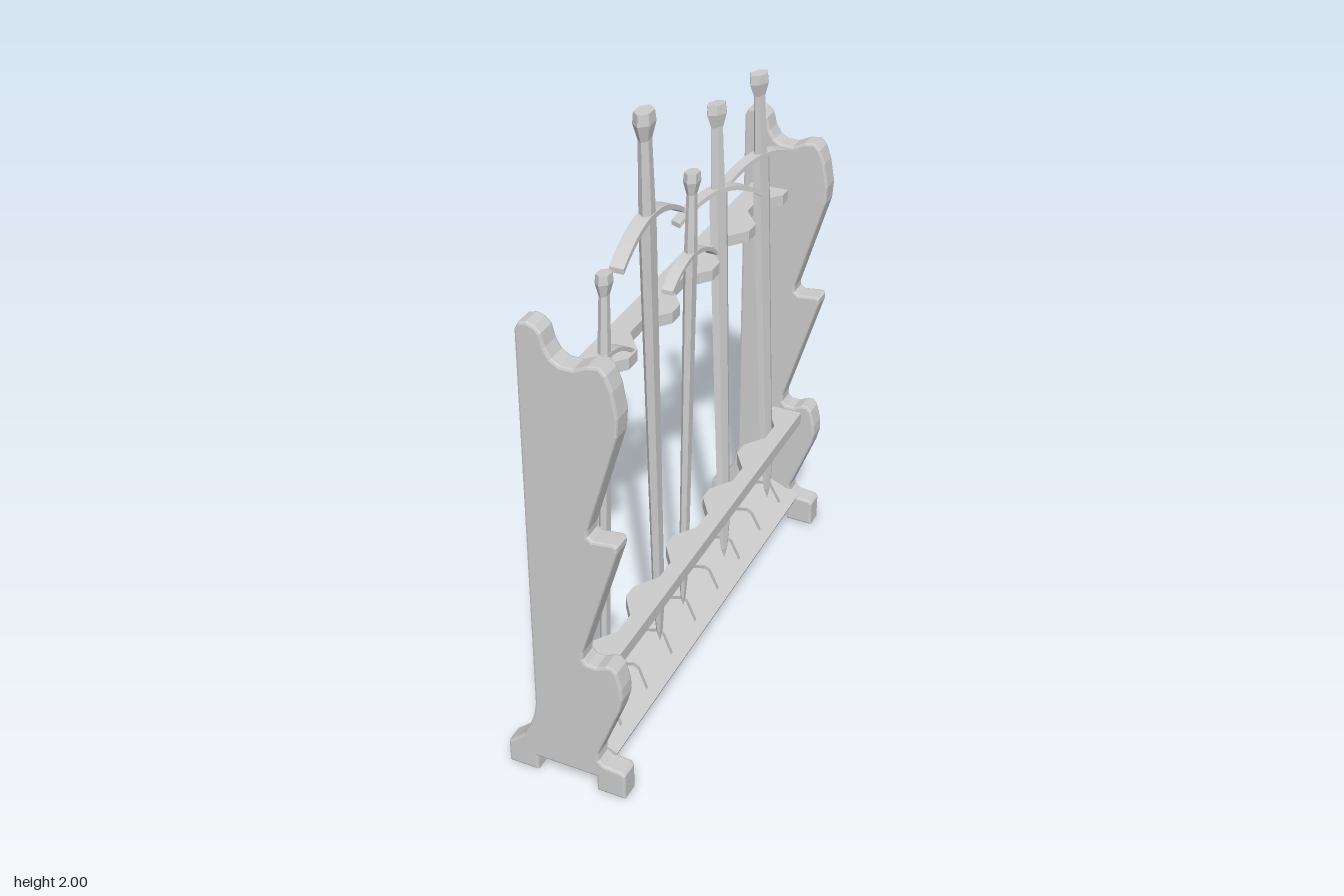
import * as THREE from 'three';

const material = new THREE.MeshStandardMaterial({ color: 0xcccccc, flatShading: true });
const UP = new THREE.Vector3(0, 1, 0);

function part(name, geometry, parent) {
  const mesh = new THREE.Mesh(geometry, material);
  mesh.name = name;
  parent.add(mesh);
  return mesh;
}

const toShape = (points) => new THREE.Shape(points.map(([x, y]) => new THREE.Vector2(x, y)));

// Slab drawn in plan (x, -z) and raised upwards
function slab(shape, height) {
  const geometry = new THREE.ExtrudeGeometry(shape, { depth: height, bevelEnabled: false });
  return geometry.rotateX(-Math.PI / 2);
}

// Scalloped end board with two feet
const boardProfile = [
  [-0.2, 0], [-0.1, 0], [-0.1, 0.055], [0.1, 0.055], [0.1, 0], [0.195, 0], [0.195, 0.09], [0.185, 0.1],
  [0.125, 0.105], [0.108, 0.12], [0.106, 0.145], [0.18, 0.34], [0.192, 0.39], [0.19, 0.43], [0.175, 0.485],
  [0.16, 0.502], [0.14, 0.5], [0.11, 0.485], [0.08, 0.485], [0.067, 0.5], [0.067, 0.525], [0.185, 0.92],
  [0.185, 0.938], [0.175, 0.947], [0.11, 0.938], [0.096, 0.95], [0.096, 0.97], [0.192, 1.3], [0.196, 1.36],
  [0.182, 1.44], [0.165, 1.485], [0.145, 1.505], [0.11, 1.5], [0.07, 1.48], [0.03, 1.48], [0.005, 1.495],
  [-0.012, 1.525], [-0.022, 1.565], [-0.04, 1.582], [-0.065, 1.59], [-0.088, 1.583], [-0.1, 1.56],
  [-0.1, 0.27], [-0.108, 0.22], [-0.122, 0.175], [-0.145, 0.13], [-0.17, 0.105], [-0.2, 0.08],
];

function endBoard() {
  const bevel = 0.008;
  const geometry = new THREE.ExtrudeGeometry(toShape(boardProfile), {
    depth: 0.07 - 2 * bevel, bevelThickness: bevel, bevelSize: bevel, bevelOffset: -bevel, bevelSegments: 2,
  });
  return geometry.translate(0, 0, -0.035 + bevel);
}

// Rail with one straight edge and five notches in the other
function notchedRail(straightX, tipX, floorX, height) {
  const points = [[straightX, -0.73], [tipX, -0.73]];
  for (let i = -2; i <= 2; i++) {
    const c = i * 0.282;
    points.push([tipX, c - 0.115], [floorX, c - 0.04], [floorX, c + 0.04], [tipX, c + 0.115]);
  }
  points.push([tipX, 0.73], [straightX, 0.73]);
  return slab(toShape(points), height);
}

// Six-sided tapering form, widest along z; profile is [half width, y]
function hexForm(profile, flatness) {
  const geometry = new THREE.LatheGeometry(profile.map(([r, y]) => new THREE.Vector2(r, y)), 6);
  return geometry.scale(flatness, 1, 1);
}

// Sword of unit length with its tip at the origin
function sword() {
  const group = new THREE.Group();
  part('blade', hexForm([[0, 0], [0.009, 0.025], [0.0165, 0.09], [0.0225, 0.83], [0, 0.83]], 0.5), group);
  part('grip', hexForm([[0, 0.825], [0.0155, 0.83], [0.0125, 0.96], [0, 0.965]], 0.8), group);
  part('pommel', hexForm([[0, 0.954], [0.014, 0.955], [0.0235, 0.982], [0.021, 1], [0, 1]], 0.68), group);

  // Crossguard bent down towards the blade
  const guard = new THREE.BoxGeometry(0.024, 0.009, 0.208, 1, 1, 12);
  const pos = guard.attributes.position;
  for (let i = 0; i < pos.count; i++) {
    const z = pos.getZ(i);
    pos.setY(i, pos.getY(i) + 0.832 - 3.7 * z * z);
  }
  part('crossguard', guard, group);
  return group;
}

export function createModel() {
  const model = new THREE.Group();
  model.name = 'swordRack';

  for (const side of [1, -1]) {
    part(side > 0 ? 'frontBoard' : 'backBoard', endBoard(), model).position.z = side * 0.755;
  }

  part('upperRail', notchedRail(-0.07, 0.06, 0.0, 0.037), model).position.y = 1.288;
  part('middleRail', notchedRail(0.14, 0.035, 0.087, 0.043), model).position.y = 0.43;

  // Sloping shelf with a row of diamond sockets
  const shelf = new THREE.Group();
  shelf.name = 'shelf';
  shelf.position.set(0.04, 0.158, 0);
  shelf.rotation.z = -0.4;
  model.add(shelf);
  const outline = [[-0.11, -0.73], [0.11, -0.73], [0.11, 0.73], [-0.11, 0.73]];
  const top = toShape(outline);
  for (let i = 0; i < 8; i++) {
    const c = (i - 3.5) * 0.181;
    const hole = [[-0.07, c - 0.008], [-0.07, c + 0.008], [-0.01, c + 0.06], [0.01, c + 0.06],
      [0.07, c + 0.008], [0.07, c - 0.008], [0.01, c - 0.06], [-0.01, c - 0.06]];
    top.holes.push(new THREE.Path(hole.map(([x, y]) => new THREE.Vector2(x, y))));
  }
  part('shelfTop', slab(top, 0.015), shelf).position.y = -0.015;
  part('shelfBase', slab(toShape(outline), 0.022), shelf).position.y = -0.037;

  // Swords: tip, pommel end, twist
  const swords = [
    [[0.05, 0.185, 0.626], [0.033, 1.63, 0.533], 0],
    [[0.05, 0.145, 0.245], [0.037, 2.0, 0.292], 0],
    [[0.05, 0.16, 0.07], [0.033, 1.685, -0.025], 0],
    [[0.06, 0.14, -0.245], [-0.015, 1.78, -0.302], -0.44],
    [[0.06, 0.145, -0.626], [0.008, 1.78, -0.572], -0.44],
  ];
  swords.forEach(([tip, end, twist], i) => {
    const item = sword();
    item.name = 'sword' + (i + 1);
    const axis = new THREE.Vector3(...end).sub(new THREE.Vector3(...tip));
    item.scale.setScalar(axis.length());
    item.position.set(...tip);
    item.quaternion.setFromUnitVectors(UP, axis.normalize());
    item.rotateY(twist);
    model.add(item);
  });

  return model;
}
